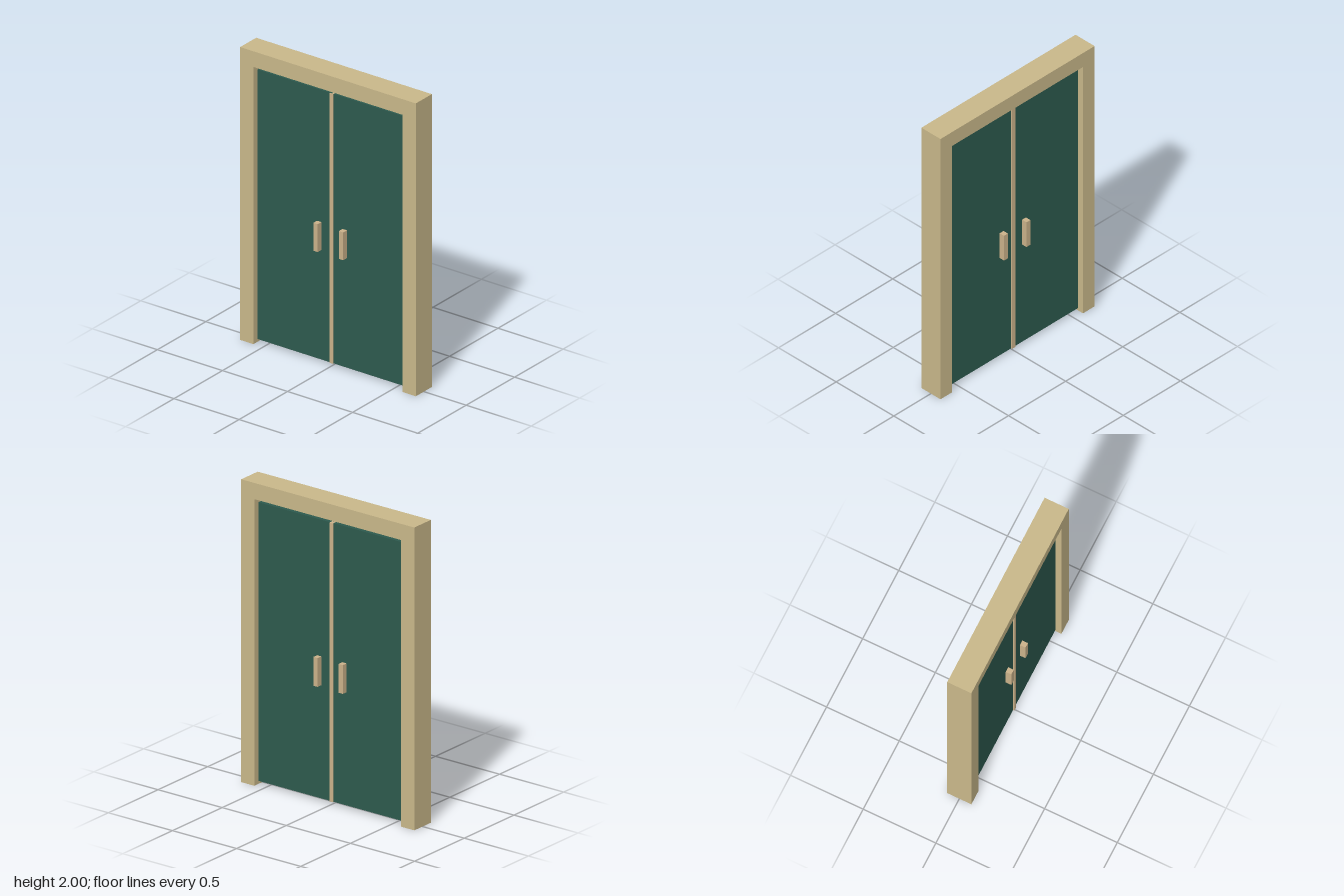
import * as THREE from 'three';

const material = (name, color) => {
  const m = new THREE.MeshStandardMaterial({ color });
  m.name = name;
  return m;
};

export function createModel() {
  const frameTan = material('frame tan', 0xc9b88a);
  const doorGreen = material('door green', 0x2d5a4e);
  const trimTan = material('trim tan', 0xcbb28a);
  const group = new THREE.Group();
  group.name = 'doubleDoor';

  // Box given by its centre x, bottom and top, centre z, width and depth
  const addBox = (name, mat, x, y0, y1, z, w, d) => {
    const mesh = new THREE.Mesh(new THREE.BoxGeometry(w, y1 - y0, d), mat);
    mesh.name = name;
    mesh.position.set(x, (y0 + y1) / 2, z);
    group.add(mesh);
  };

  // Frame: one extruded arch, open at the floor
  const outline = [
    [-0.675, 0], [-0.573, 0], [-0.573, 1.893], [0.573, 1.893],
    [0.573, 0], [0.675, 0], [0.675, 2], [-0.675, 2],
  ].map(([x, y]) => new THREE.Vector2(x, y));
  const frameGeometry = new THREE.ExtrudeGeometry(new THREE.Shape(outline), {
    depth: 0.166, bevelEnabled: false,
  });
  frameGeometry.translate(0, 0, -0.083);
  const frame = new THREE.Mesh(frameGeometry, frameTan);
  frame.name = 'frame';
  group.add(frame);

  // Door leaves, with a handle on both faces of each
  for (const side of [-1, 1]) {
    const label = side > 0 ? 'left' : 'right';
    addBox(`${label}Door`, doorGreen, side * 0.2875, 0.02, 1.86, 0, 0.573, 0.083);
    for (const face of [1, -1]) {
      const where = face > 0 ? 'Front' : 'Back';
      addBox(`${label}${where}Handle`, trimTan, side * 0.098, 0.768, 0.958, face * 0.06, 0.034, 0.04);
    }
  }

  // Strip covering the joint between the leaves
  addBox('centreStrip', trimTan, 0, 0.02, 1.86, 0, 0.027, 0.1);

  return group;
}
